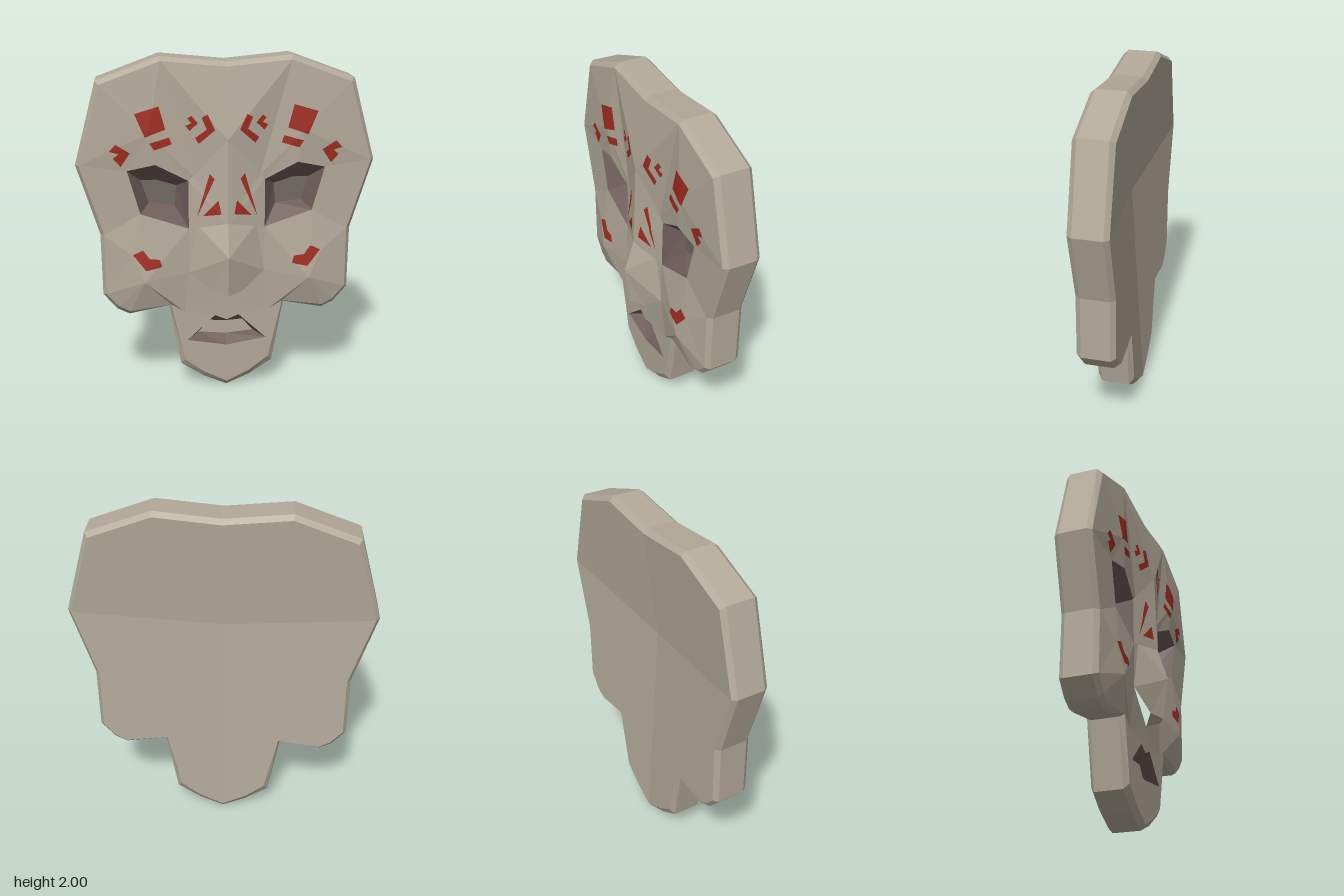
import * as THREE from 'three';

const material = (color) => new THREE.MeshStandardMaterial({ color, flatShading: true, roughness: 0.9 });

// Key points of the left half of the face relief: x, y, z
const P = {
  // front rim, from the crown down to the chin
  A: [0, 1.94, 0.04], B: [0.365, 1.975, 0.04], C: [0.705, 1.85, 0.04], D: [0.833, 1.4, 0.04],
  E: [0.705, 0.99, 0.04], F: [0.705, 0.63, 0.04], G: [0.635, 0.55, 0.04], H: [0.57, 0.515, 0.04],
  I: [0.33, 0.55, 0.04], J: [0.25, 0.19, 0.04], K: [0.14, 0.105, 0.04], L: [0, 0.035, 0.04],
  // eye opening
  e0: [0.22, 1.3, 0.045], e1: [0.405, 1.4, 0.06], e2: [0.565, 1.365, 0.045],
  e3: [0.495, 1.11, 0.045], e4: [0.22, 1.018, 0.05],
  // mouth opening
  M0: [0, 0.44, 0.04], M1: [0.07, 0.47, 0.04], M2: [0.235, 0.315, 0.04], M3: [0, 0.275, 0.04],
  // brow, bridge, nose and cheek
  b: [0, 1.54, 0.1], f: [0.19, 1.33, 0.048], h: [0.44, 1.58, 0.068],
  g: [0, 1.06, 0.118], s: [0.17, 1.04, 0.057], n: [0, 0.87, 0.177], t: [0, 0.63, 0.147],
  w: [0.085, 0.64, 0.1], u: [0, 0.595, 0.045], v: [0.22, 0.75, 0.052], r: [0.25, 0.5, 0.04],
  c: [0.55, 0.87, 0.072], d: [0.48, 0.71, 0.095],
};
const FACES = ('A b B,B b f,B f h,h f e0,h e0 e1,h e1 e2,B h C,C h D,h e2 D,' +
  'D e2 e3,D e3 E,E e3 c,c e3 d,e3 e4 d,e4 s v,e4 v d,E c F,c d F,F d G,G d H,d H I,d I r,d r v,' +
  'b f g,f g e0,e0 g e4,g s e4,g n s,s n v,n w v,n t w,t u w,w u v,' +
  'v u r,u M0 M1,u M1 r,r M1 M2,r M2 J,r I J,J M2 K,K M2 M3,K M3 L')
  .split(',').map((face) => face.split(' ').map((key) => P[key]));

// Outer silhouette of the left half, matching rim points A to L
const OUTER = [[0, 1.965], [0.37, 2], [0.725, 1.87], [0.853, 1.4], [0.728, 0.99], [0.725, 0.62],
  [0.645, 0.525], [0.575, 0.49], [0.34, 0.535], [0.275, 0.155], [0.14, 0.065], [0, 0.003]];

// Painted marks on the left half
const MARKS = [
  [[0.515, 1.69], [0.38, 1.73], [0.345, 1.6], [0.46, 1.56]],
  [[0.435, 1.525], [0.325, 1.555], [0.31, 1.515], [0.41, 1.485]],
  [[0.624, 1.52], [0.545, 1.47], [0.598, 1.39], [0.64, 1.44], [0.608, 1.465], [0.66, 1.48]],
  [[0.11, 1.685], [0.07, 1.597], [0.16, 1.517], [0.18, 1.55], [0.116, 1.6], [0.143, 1.666]],
  [[0.2, 1.676], [0.164, 1.634], [0.21, 1.59], [0.233, 1.618], [0.2, 1.634], [0.222, 1.66]],
  [[0.1, 1.347], [0.074, 1.316], [0.175, 1.087]],
  [[0.053, 1.194], [0.037, 1.114], [0.14, 1.098]],
  [[0.545, 0.875], [0.487, 0.902], [0.45, 0.85], [0.39, 0.843], [0.38, 0.8], [0.47, 0.78]],
];

const cross2 = (a, b, p) => (b[0] - a[0]) * (p[1] - a[1]) - (b[1] - a[1]) * (p[0] - a[0]);
const mirror = (p) => [-p[0], ...p.slice(1)];
const withMirror = (tris) => [...tris, ...tris.map(([a, b, c]) => [mirror(a), mirror(c), mirror(b)])];
const ccw = (t) => (cross2(t[0], t[1], t[2]) < 0 ? [t[0], t[2], t[1]] : t);
const atZ = (points, z) => points.map(([x, y]) => [x, y, z]);

// Whole loop from a half profile that starts and ends on the centre line
const fullLoop = (half) => [...half, ...half.slice(1, -1).reverse().map(mirror)];

// Quads between two clockwise loops, facing outwards when going from front to back
function band(front, back) {
  return front.flatMap((p, i) => {
    const j = (i + 1) % front.length;
    return [[p, back[j], back[i]], [p, front[j], back[j]]];
  });
}

// Flat polygon facing +z
function cap(points) {
  const flat = points.map(([x, y]) => new THREE.Vector2(x, y));
  return THREE.ShapeUtils.triangulateShape(flat, []).map((t) => ccw(t.map((i) => points[i])));
}

function mesh(name, tris, mat) {
  const geometry = new THREE.BufferGeometry();
  geometry.setAttribute('position', new THREE.Float32BufferAttribute(tris.flat(2), 3));
  geometry.computeVertexNormals();
  const result = new THREE.Mesh(geometry, mat);
  result.name = name;
  return result;
}

// Fan of triangles that is shaded as one face
function backPanel(name, centre, edge, mat) {
  const panel = mesh(name, edge.slice(1).map((p, i) => [centre, edge[i], p]), mat);
  const normal = new THREE.Vector3(), a = new THREE.Vector3(), b = new THREE.Vector3();
  const origin = new THREE.Vector3(...centre);
  for (let i = 1; i < edge.length; i++) {
    a.set(...edge[i - 1]).sub(origin);
    normal.add(a.cross(b.set(...edge[i]).sub(origin)));
  }
  normal.normalize();
  const normals = panel.geometry.attributes.normal;
  for (let i = 0; i < normals.count; i++) normals.setXYZ(i, normal.x, normal.y, normal.z);
  return panel;
}

// Cut a polygon to the inside of a counter-clockwise triangle
function clip(polygon, tri) {
  let out = polygon;
  for (let k = 0; k < 3; k++) {
    const a = tri[k], b = tri[(k + 1) % 3], input = out;
    out = [];
    input.forEach((p, i) => {
      const q = input[(i + 1) % input.length];
      const dp = cross2(a, b, p), dq = cross2(a, b, q);
      if (dp >= 0) out.push(p);
      if (dp * dq < 0) {
        const r = dp / (dp - dq);
        out.push([p[0] + (q[0] - p[0]) * r, p[1] + (q[1] - p[1]) * r]);
      }
    });
  }
  return out;
}

// Lay a flat mark over the relief
function drape(mark, relief) {
  const tris = [];
  for (const piece of cap(mark)) {
    for (const face of relief) {
      const [a, b, c] = face, area = cross2(a, b, c);
      const lifted = clip(piece, face).map((p) => {
        const wa = cross2(b, c, p) / area, wb = cross2(c, a, p) / area;
        return [p[0], p[1], wa * a[2] + wb * b[2] + (1 - wa - wb) * c[2] + 0.003];
      });
      for (let i = 1; i + 1 < lifted.length; i++) tris.push(ccw([lifted[0], lifted[i], lifted[i + 1]]));
    }
  }
  return tris;
}

export function createModel() {
  const group = new THREE.Group();
  const stone = material(0xb3a999);
  const recess = material(0x6e5c59);
  recess.side = THREE.DoubleSide;
  const paint = material(0xa02c20);

  // Faceted front
  const relief = FACES.map(ccw);
  group.add(mesh('faceRelief', withMirror(relief), stone));

  // Bevelled sides
  const rim = fullLoop('ABCDEFGHIJKL'.split('').map((key) => P[key]));
  const outer = fullLoop(OUTER);
  const rings = [rim, atZ(outer, 0.012), atZ(outer, -0.15), atZ(rim, -0.177)];
  group.add(mesh('rim', rings.slice(1).flatMap((ring, i) => band(rings[i], ring)), stone));

  // Hollow back in four panels, split at crown, temples and chin
  const backStone = material(0xb3a999);
  backStone.flatShading = false;
  const backRing = [...rings[3], rings[3][0]];
  const splits = [0, 3, 11, 19, 22];
  splits.slice(1).forEach((end, i) => {
    group.add(backPanel('backPanel', [0, 1.3, -0.097], backRing.slice(splits[i], end + 1), backStone));
  });

  // Eye sockets
  const eyeFront = ['e0', 'e1', 'e2', 'e3', 'e4'].map((key) => P[key]);
  const eyeBack = atZ([[0.285, 1.25], [0.4, 1.285], [0.49, 1.285], [0.445, 1.15], [0.295, 1.13]], -0.06);
  group.add(mesh('eyeSockets', withMirror(band(eyeFront, eyeBack)), recess));
  group.add(mesh('eyePanes', withMirror(cap(eyeBack)), material(0x716a63)));

  // Mouth recess
  const mouthFront = fullLoop(['M0', 'M1', 'M2', 'M3'].map((key) => P[key]));
  const mouthBack = fullLoop(atZ([[0, 0.405], [0.1, 0.412], [0.165, 0.338], [0, 0.322]], -0.03));
  group.add(mesh('lips', band(mouthFront, mouthBack), recess));
  group.add(mesh('mouthFloor', cap(mouthBack), stone));

  // Painted marks
  group.add(mesh('paintedMarks', withMirror(MARKS.flatMap((mark) => drape(mark, relief))), paint));
  return group;
}
